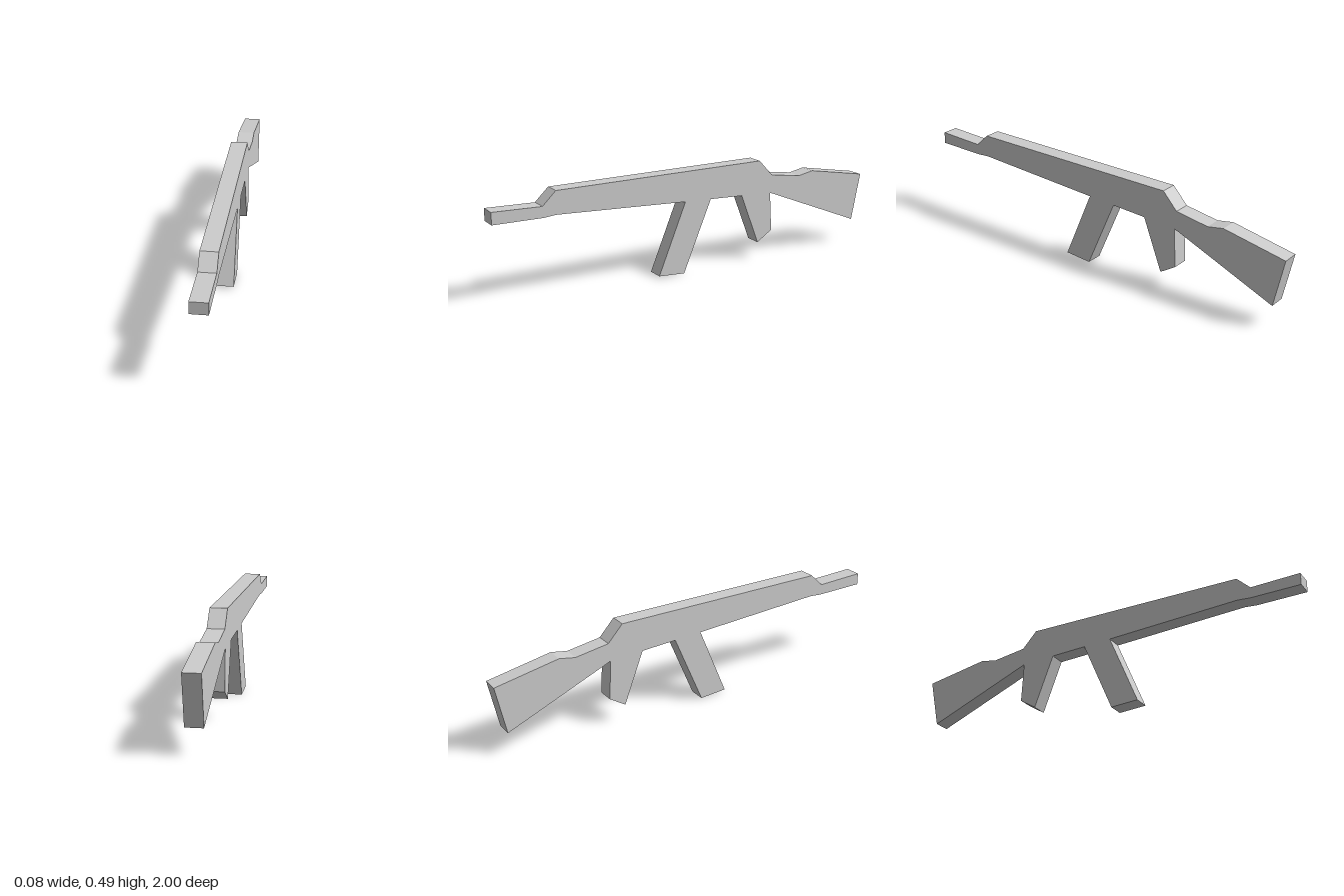
import * as THREE from 'three';

const WIDTH = 0.08;

// Side profiles as [z, y]; neighbouring parts share their corner points
const muzzleTop = [0.7, 0.494], muzzleBottom = [0.7, 0.385];
const magFront = [0.045, 0.35], magBack = [-0.094, 0.343];
const gripFront = [-0.27, 0.335], gripBack = [-0.436, 0.327];
const stockTop = [-0.445, 0.415];

const profiles = {
  barrel: [[1, 0.44], [0.765, 0.432], muzzleTop, muzzleBottom, [0.76, 0.38], [1, 0.383]],
  receiver: [muzzleTop, [-0.372, 0.494], stockTop, gripBack, gripFront, magBack, magFront, muzzleBottom],
  magazine: [magFront, magBack, [0.053, 0], [0.188, 0.009]],
  grip: [gripFront, gripBack, [-0.447, 0.137], [-0.367, 0.086]],
  stock: [stockTop, [-0.61, 0.39], [-0.69, 0.405], [-1, 0.348], [-0.952, 0.116], gripBack],
};

// Flat slab of constant width cut to a side profile
function slab(name, points, material) {
  const shape = new THREE.Shape(points.map(([z, y]) => new THREE.Vector2(z, y)));
  const geometry = new THREE.ExtrudeGeometry(shape, { depth: WIDTH, bevelEnabled: false });
  geometry.rotateY(-Math.PI / 2).translate(WIDTH / 2, 0, 0);
  const mesh = new THREE.Mesh(geometry, material);
  mesh.name = name;
  return mesh;
}

export function createModel() {
  const grey = new THREE.MeshStandardMaterial({ color: 0xcccccc });
  grey.name = 'light grey';
  const model = new THREE.Group();
  model.name = 'rifle';
  for (const [name, points] of Object.entries(profiles)) model.add(slab(name, points, grey));
  return model;
}
